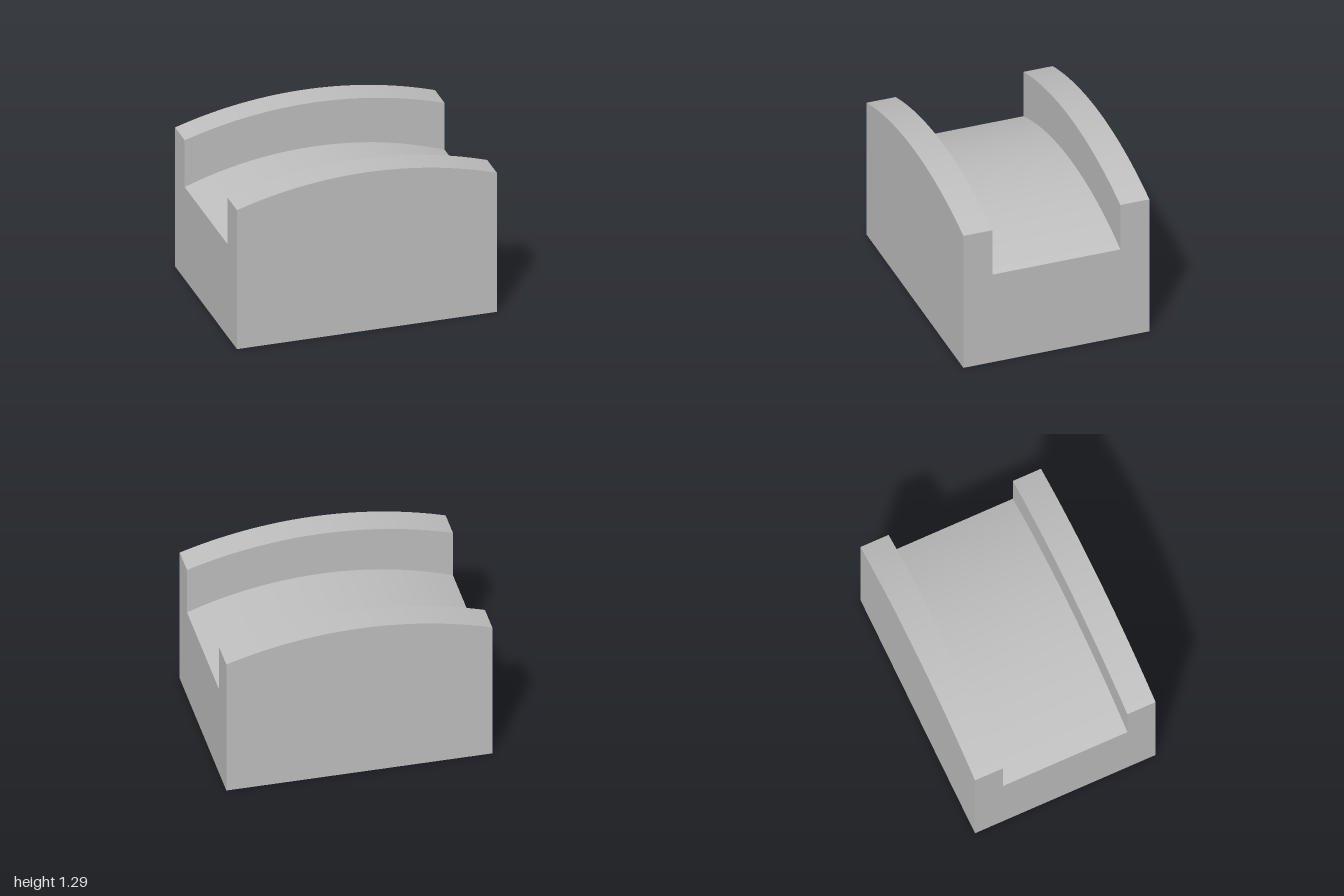
import * as THREE from 'three';
import { toCreasedNormals } from 'three/addons/utils/BufferGeometryUtils.js';

const HALF_WIDTH = 1, HALF_DEPTH = 0.727, GROOVE = 0.5;
const BASE_HEIGHT = 0.5, HOLE_RADIUS = 0.324;

// Block from y = BASE_HEIGHT up to a crowned top, running from z0 to z1
function crownedBlock(sideY, crownY, z0, z1) {
  const sag = crownY - sideY;
  const radius = (HALF_WIDTH ** 2 + sag ** 2) / (2 * sag);
  const angle = Math.asin(HALF_WIDTH / radius);
  const shape = new THREE.Shape();
  shape.moveTo(-HALF_WIDTH, BASE_HEIGHT);
  shape.lineTo(HALF_WIDTH, BASE_HEIGHT);
  shape.lineTo(HALF_WIDTH, sideY);
  shape.absarc(0, crownY - radius, radius, Math.PI / 2 - angle, Math.PI / 2 + angle, false);
  shape.closePath();
  const geometry = new THREE.ExtrudeGeometry(shape, { depth: z1 - z0, bevelEnabled: false, curveSegments: 48 });
  geometry.translate(0, 0, z0);
  return toCreasedNormals(geometry, 0.2);
}

// Lower block pierced by the round socket
function socketBase() {
  const shape = new THREE.Shape();
  shape.moveTo(-HALF_WIDTH, -HALF_DEPTH);
  shape.lineTo(HALF_WIDTH, -HALF_DEPTH);
  shape.lineTo(HALF_WIDTH, HALF_DEPTH);
  shape.lineTo(-HALF_WIDTH, HALF_DEPTH);
  shape.closePath();
  const hole = new THREE.Path();
  hole.absarc(0, 0, HOLE_RADIUS, 0, Math.PI * 2, true);
  shape.holes.push(hole);
  const geometry = new THREE.ExtrudeGeometry(shape, { depth: BASE_HEIGHT, bevelEnabled: false, curveSegments: 64 });
  geometry.rotateX(-Math.PI / 2);
  return toCreasedNormals(geometry, 0.5);
}

export function createModel() {
  const group = new THREE.Group();
  group.name = 'groovedBlock';
  const grey = new THREE.MeshStandardMaterial({ color: 0xc0c0c0 });
  grey.name = 'plain grey';

  const add = (name, geometry) => {
    const mesh = new THREE.Mesh(geometry, grey);
    mesh.name = name;
    group.add(mesh);
  };

  add('socketBase', socketBase());
  // Curved groove floor; its underside closes the socket
  add('grooveFloor', crownedBlock(0.75, 0.93, -GROOVE, GROOVE));
  // Raised walls on either side of the groove
  add('frontRail', crownedBlock(1.13, 1.287, GROOVE, HALF_DEPTH));
  add('backRail', crownedBlock(1.13, 1.287, -HALF_DEPTH, -GROOVE));
  return group;
}
